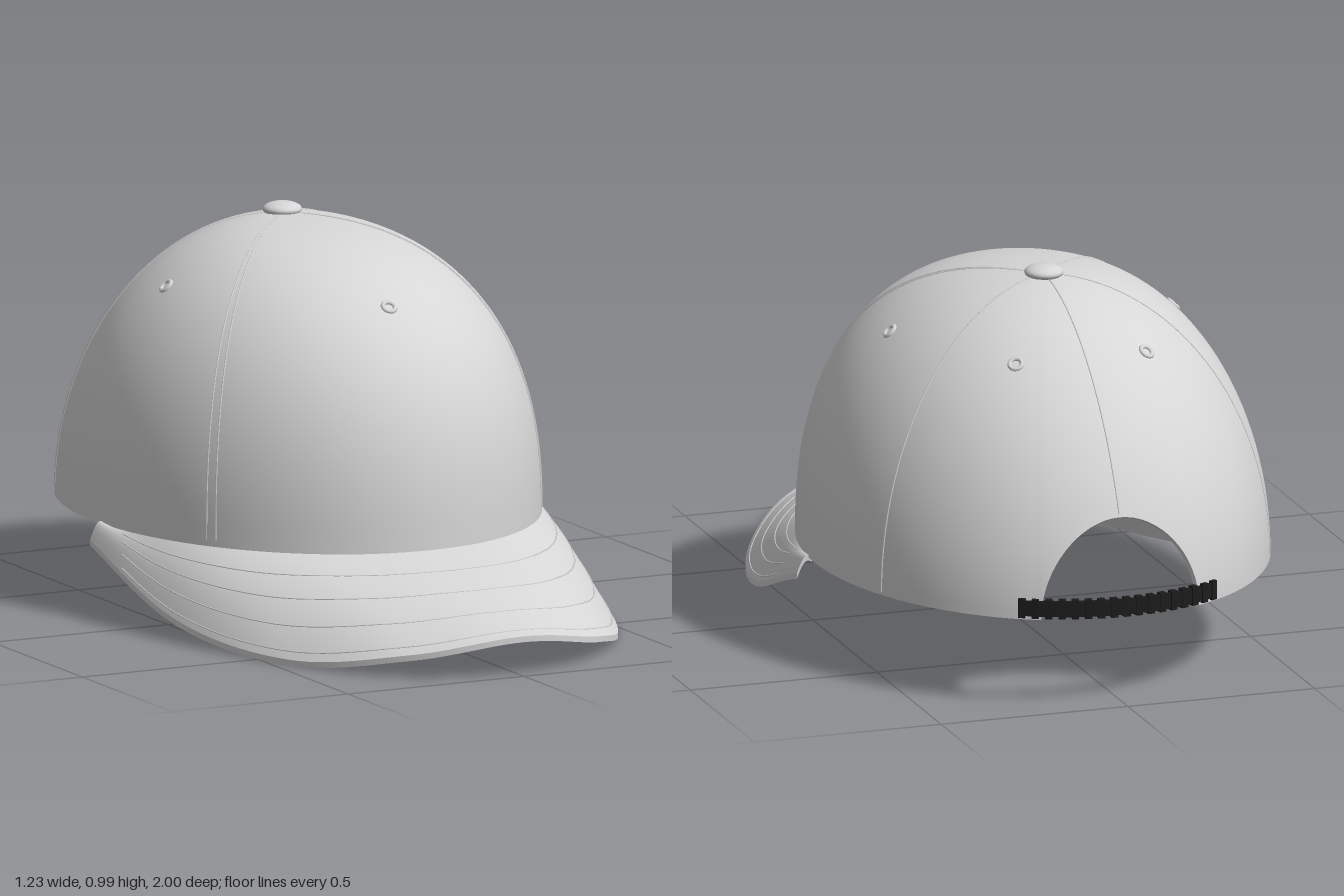
import * as THREE from 'three';
import { mergeVertices } from 'three/addons/utils/BufferGeometryUtils.js';

const BASE = 0.23, HEIGHT = 0.73, RX = 0.585, RZ = 0.7325, CZ = -0.2575, APEX_Z = -0.34;
const HOLE_W = 0.37, HOLE_H = 0.25, BACK = -Math.PI / 2;
const lerp = THREE.MathUtils.lerp;

// Smooth surface through fn(u, v) with u and v listed as arrays
function surface(us, vs, fn) {
  const pos = [], index = [], n = vs.length;
  us.forEach((u) => vs.forEach((v) => pos.push(...fn(u, v).toArray())));
  for (let i = 0; i < us.length - 1; i++) {
    for (let j = 0; j < n - 1; j++) {
      const a = i * n + j, b = a + n;
      index.push(a, a + 1, b, b, a + 1, b + 1);
    }
  }
  let g = new THREE.BufferGeometry();
  g.setAttribute('position', new THREE.Float32BufferAttribute(pos, 3));
  g.setIndex(index);
  g = mergeVertices(g, 1e-5);
  g.computeVertexNormals();
  return g;
}
const range = (a, b, n) => Array.from({ length: n + 1 }, (_, i) => lerp(a, b, i / n));

// Crown: angle b around (PI/2 is the front), phi from rim to apex, k shrinks it for the lining
const fullness = (b) => 2.2 + 0.4 * Math.sin(b);
function crown(b, phi, k = 1) {
  const e = 2 / fullness(b);
  const rho = Math.pow(Math.max(0, Math.cos(phi)), e);
  const h = Math.pow(Math.max(0, Math.sin(phi)), e);
  return new THREE.Vector3(
    RX * Math.cos(b) * rho * k,
    BASE + HEIGHT * k * h,
    lerp(APEX_Z, CZ + RZ * k * Math.sin(b), rho));
}
const phiAt = (b, y) => Math.asin(Math.pow(Math.max(0, y) / HEIGHT, fullness(b) / 2));
function rimPhi(b) {
  const d = (b - BACK) / HOLE_W;
  return Math.abs(d) < 1 ? phiAt(b, HOLE_H * Math.sqrt(1 - d * d)) : 0;
}

// Brim: s = 0..1 from the left end round the front to the right end, u = 0..1 from crown to edge
const edgeHeight = new THREE.CatmullRomCurve3([
  [0, 0.177], [0.33, 0.042], [0.72, 0], [1.14, 0.045], [Math.PI / 2, 0.088],
  [Math.PI - 1.14, 0.045], [Math.PI - 0.72, 0], [Math.PI - 0.33, 0.042], [Math.PI, 0.177],
].map(([x, y]) => new THREE.Vector3(x, y, 0)));
const edgePoints = edgeHeight.getPoints(400);
function edgeY(a) {
  const i = Math.max(1, edgePoints.findIndex((p) => p.x >= a - 1e-9));
  const p = edgePoints[i - 1], q = edgePoints[i];
  return lerp(p.y, q.y, THREE.MathUtils.clamp((a - p.x) / (q.x - p.x), 0, 1));
}
function brim(s, u, drop = 0) {
  const a = s * Math.PI, b = lerp(0.065, Math.PI - 0.065, s);
  const c = Math.cos(a), p = 2 / 2.1;
  const ox = 0.615 * Math.sign(c) * Math.pow(Math.abs(c), p);
  const oz = -0.21 + 1.21 * Math.pow(Math.max(0, Math.sin(a)), p);
  return new THREE.Vector3(
    lerp(RX * 0.985 * Math.cos(b), ox, u),
    lerp(BASE + 0.003, edgeY(a) + 0.014, u) + 0.02 * Math.sin(Math.PI * u) * Math.abs(c) - drop,
    lerp(CZ + RZ * 0.985 * Math.sin(b), oz, u));
}

export function createModel() {
  const fabric = new THREE.MeshStandardMaterial({ color: 0xd6d6d6, side: THREE.DoubleSide });
  fabric.name = 'light grey fabric';
  const black = new THREE.MeshStandardMaterial({ color: 0x1c1c1c, side: THREE.DoubleSide });
  black.name = 'black strap';

  const root = new THREE.Group();
  root.name = 'baseballCap';
  const add = (name, geometry, material = fabric, parent = root) => {
    const m = new THREE.Mesh(geometry, material);
    m.name = name;
    parent.add(m);
    return m;
  };
  const group = (name) => {
    const g = new THREE.Group();
    g.name = name;
    root.add(g);
    return g;
  };
  const thread = (name, points, r, parent) =>
    add(name, new THREE.TubeGeometry(new THREE.CatmullRomCurve3(points), 60, r, 5), fabric, parent);

  // Crown shell, lining and rim, with columns crowded at the edges of the back opening
  const around = [
    ...range(0, Math.PI, 32).map((t) => BACK - HOLE_W * Math.cos(t)),
    ...range(BACK + HOLE_W, BACK + 2 * Math.PI - HOLE_W, 96).slice(1),
  ];
  const rise = range(0, 1, 36);
  const shell = (k) => (b, v) => crown(b, lerp(rimPhi(b), Math.PI / 2, v), k);
  add('crown', surface(around, rise, shell(1)));
  add('lining', surface(around, rise, shell(0.975)));
  add('crownRim', surface(around, [1, 0.975], (b, k) => crown(b, rimPhi(b), k)));
  add('sweatband', surface(
    range(BACK + HOLE_W, BACK + 2 * Math.PI - HOLE_W, 96), range(0, 0.16, 6),
    (b, y) => crown(b, phiAt(b, y), 0.966)));

  // Panel seams: double at the front, single at the sides and centre back
  const seams = group('seams');
  const seam = (b) => thread('seam',
    range(rimPhi(b) + 0.01, 1.53, 24).map((phi) => crown(b, phi)), 0.0022, seams);
  [0.618, 0.658, -0.475].forEach((b) => { seam(b); seam(Math.PI - b); });
  seam(BACK);

  // Eyelets, turned to lie on the cloth
  const eyelets = group('eyelets');
  [Math.PI / 2, 0.08, Math.PI - 0.08, -1, Math.PI + 1].forEach((b) => {
    const phi = phiAt(b, 0.588), p = crown(b, phi), d = 0.02;
    const du = crown(b + d, phi).sub(crown(b - d, phi));
    const dv = crown(b, phi + d).sub(crown(b, phi - d));
    const normal = dv.cross(du).normalize();
    const m = add('eyelet', new THREE.TorusGeometry(0.016, 0.006, 8, 24), fabric, eyelets);
    m.position.copy(p);
    m.quaternion.setFromUnitVectors(new THREE.Vector3(0, 0, 1), normal);
  });

  // Button on top
  const button = add('topButton', new THREE.SphereGeometry(1, 32, 16));
  button.scale.set(0.05, 0.02, 0.05);
  button.position.set(0, 0.966, APEX_Z - 0.005);

  // Curved brim with thickness, closed edge and closed ends
  const visor = group('brim');
  const along = range(0, 1, 96), out = range(0, 1, 16), T = 0.015;
  add('brimTop', surface(along, out, (s, u) => brim(s, u)), fabric, visor);
  add('brimUnderside', surface(along, out, (s, u) => brim(s, u, T)), fabric, visor);
  add('brimEdge', surface(along, [0, T], (s, d) => brim(s, 1, d)), fabric, visor);
  [0, 1].forEach((s) =>
    add('brimEnd', surface(out, [0, T], (u, d) => brim(s, u, d)), fabric, visor));
  [0.25, 0.48, 0.72, 0.93].forEach((u) =>
    thread('brimStitching', range(0.04, 0.96, 48).map((s) => brim(s, u)), 0.002, visor));

  // Ribbed adjustment strap across the back opening
  const strap = group('backStrap');
  const band = [[0.99, 0.24], [1.006, 0.24], [1.006, 0.28], [0.99, 0.28], [0.99, 0.24]];
  const strapPoint = (b, k, y) =>
    new THREE.Vector3(RX * k * Math.cos(b), y, CZ + RZ * k * Math.sin(b));
  const W = 0.45;
  for (let i = 0; i < 4; i++) {
    add('strapBand', surface(range(BACK - W, BACK + W, 32), [band[i], band[i + 1]],
      (b, [k, y]) => strapPoint(b, k, y)), black, strap);
  }
  range(BACK - W, BACK + W, 16).forEach((b) => {
    const rib = add('strapRib', new THREE.BoxGeometry(0.018, 0.05, 0.018), black, strap);
    rib.position.copy(strapPoint(b, 0.998, 0.26));
    rib.rotation.y = Math.atan2(Math.cos(b) / RX, Math.sin(b) / RZ);
  });

  return root;
}
